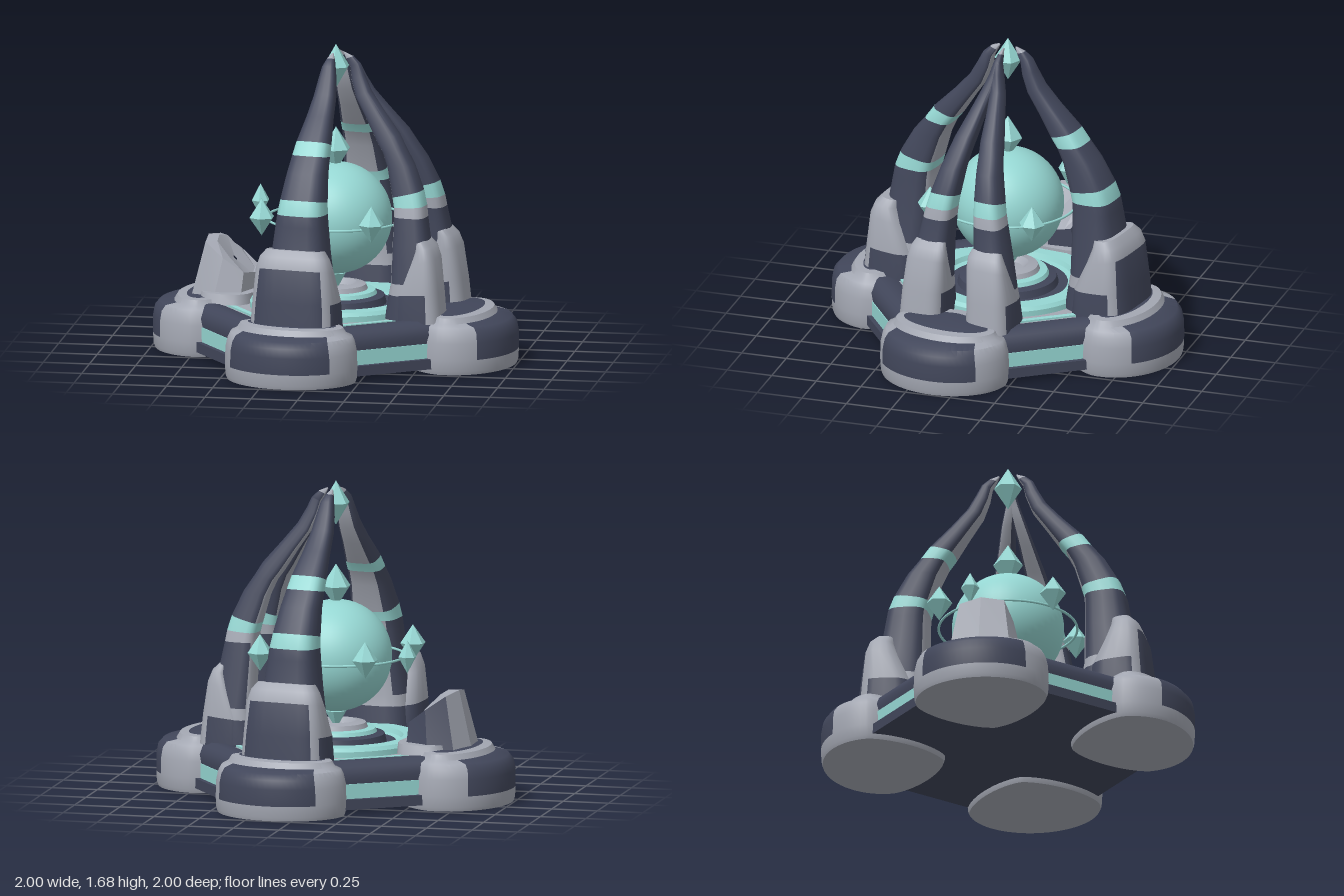
import * as THREE from 'three';
import { toCreasedNormals } from 'three/addons/utils/BufferGeometryUtils.js';

const material = (name, color) => {
  const m = new THREE.MeshStandardMaterial({ color });
  m.name = name;
  return m;
};
const dark = material('dark slate', 0x41465a);
const grey = material('light stone', 0xa3a7b2);
const teal = material('pale teal', 0x95d6d2);
const palette = [dark, grey, teal];
const DARK = 0, GREY = 1, TEAL = 2;

function add(parent, name, geometry, mat) {
  const mesh = new THREE.Mesh(geometry, mat);
  mesh.name = name;
  parent.add(mesh);
  return mesh;
}

// Skin over stacked rings; colourOf(row, column angle) picks a palette index
function loft(rows, sides, point, colourOf, crease = 0.7) {
  const pos = [], faces = [[], [], []];
  rows.forEach((row) => {
    for (let j = 0; j < sides; j++) pos.push(...point(row, (j / sides) * Math.PI * 2));
  });
  for (let i = 0; i < rows.length - 1; i++) {
    for (let j = 0; j < sides; j++) {
      const a = i * sides + j, b = i * sides + ((j + 1) % sides);
      const c = b + sides, d = a + sides;
      faces[colourOf(i, ((j + 0.5) / sides) * Math.PI * 2)].push(a, d, c, a, c, b);
    }
  }
  const g = new THREE.BufferGeometry();
  g.setAttribute('position', new THREE.Float32BufferAttribute(pos, 3));
  g.setIndex(faces.flat());
  let start = 0;
  faces.forEach((f, k) => {
    if (f.length) g.addGroup(start, f.length, k);
    start += f.length;
  });
  return toCreasedNormals(g, crease);
}

const power = (v, e) => Math.sign(v) * Math.pow(Math.abs(v), e);

// Tilted rounded-box ring: [outer u, outer y, inner u, inner y, half width]
const legPoint = (width, offset) => ([uo, yo, ui, yi, hw], t) => {
  const c = power(Math.cos(t), 0.6), s = power(Math.sin(t), 0.6);
  const y = (yo + yi) / 2 + ((yo - yi) / 2) * c;
  return [(uo + ui) / 2 + ((uo - ui) / 2) * c, y, offset(y) + hw * width * s];
};

const LEG = [
  [0.77, 0.27, 0.40, 0.27, 0.20], [0.75, 0.40, 0.42, 0.40, 0.19],
  [0.73, 0.47, 0.43, 0.46, 0.18], [0.68, 0.66, 0.43, 0.66, 0.15],
  [0.655, 0.81, 0.43, 0.81, 0.134], [0.645, 0.87, 0.425, 0.86, 0.128],
  [0.615, 0.95, 0.41, 0.91, 0.12], [0.54, 1.08, 0.365, 1.06, 0.105],
  [0.47, 1.165, 0.325, 1.14, 0.097], [0.42, 1.235, 0.285, 1.19, 0.09],
  [0.305, 1.35, 0.205, 1.31, 0.07], [0.215, 1.45, 0.135, 1.41, 0.058],
  [0.17, 1.53, 0.10, 1.50, 0.047], [0.14, 1.59, 0.085, 1.57, 0.035],
  [0.10, 1.625, 0.06, 1.61, 0.02], [0.05, 1.645, 0.045, 1.64, 0.004],
];
const HOOD = [
  [0.80, 0.26, 0.46, 0.26, 0.24], [0.785, 0.42, 0.47, 0.40, 0.23],
  [0.76, 0.60, 0.55, 0.56, 0.21], [0.735, 0.66, 0.58, 0.64, 0.19],
  [0.70, 0.695, 0.58, 0.68, 0.16], [0.65, 0.69, 0.62, 0.68, 0.02],
];

// Curved leg with bands, and the stone hood at its root
function addLeg(parent, slim, side) {
  const offset = (y) =>
    slim ? side * 0.2 * Math.max(0, 1 - Math.pow(Math.max(0, (y - 0.25) / 1.3), 1.7)) : 0;
  const point = (width) => legPoint(slim ? width : 1, offset);
  // Slim legs stand a little closer to the centre
  const place = (rows, shift) => (!slim ? rows : rows.map(([a, b, c, d, e]) => {
    const k = shift * Math.min(1, (a / 0.65) ** 2);
    return [a - k, b, c - k * 0.4, d, e];
  }));
  const bands = slim ? { 1: GREY, 4: GREY, 5: TEAL } : { 1: GREY, 5: TEAL, 8: TEAL };
  add(parent, 'curvedLeg', loft(place(LEG, 0.09), 20, point(0.6), (i, t) => {
    if (i in bands) return bands[i];
    if (i === 14) return GREY;
    return i > 1 && Math.cos(t) < -0.8 ? GREY : DARK;
  }), palette);
  add(parent, 'legHood', loft(place(HOOD, 0.12), 32, point(0.53), (i, t) => {
    const c = Math.cos(t);
    if (i === 0 && c < 0.45) return DARK;
    return !slim && i < 2 && c > 0.68 ? DARK : GREY;
  }), palette);
}

// Foot pad, round outside and pointed inward: rows are [y, radial scale, side scale]
const FOOT = [[0, 0, 0], [0, 0.97, 0.97], [0.02, 0.99, 0.99], [0.08, 1, 1], [0.17, 1, 0.99],
  [0.22, 0.97, 0.96], [0.25, 0.88, 0.92], [0.265, 0.6, 0.84], [0.295, 0.54, 0.79],
  [0.3, 0.37, 0.68], [0.312, 0, 0]];
function addFoot(parent) {
  const point = ([y, su, sv], t) => {
    const front = Math.cos(t) > 0, e = front ? 1 : 1.35;
    return [0.7 + su * (front ? 0.31 : 0.36) * power(Math.cos(t), e), y,
      sv * 0.365 * power(Math.sin(t), e)];
  };
  add(parent, 'footPad', loft(FOOT, 64, point, (i, t) => {
    if (i > 2 && i < 7 && Math.cos(t) > 0.6) return DARK;
    return i > 8 ? DARK : GREY;
  }), palette);
}

// Broken stump of the missing leg
function addStump(parent) {
  const point = legPoint(1, () => 0);
  add(parent, 'stumpCollar', loft([[0.73, 0.27, 0.42, 0.27, 0.25], [0.72, 0.325, 0.42, 0.325, 0.23],
    [0.6, 0.33, 0.59, 0.33, 0.01]], 20, point, () => GREY), palette);
  add(parent, 'brokenStump', loft([[0.79, 0.3, 0.45, 0.3, 0.2], [0.72, 0.6, 0.455, 0.41, 0.15],
    [0.66, 0.6, 0.47, 0.4, 0.1], [0.58, 0.49, 0.56, 0.47, 0.01]], 8, point,
  (i, t) => (i === 0 && Math.sin(t) > 0.3 && Math.cos(t) < 0.5 ? DARK : GREY), 0.2), palette);
}

function addCrystal(parent, name, x, y, z, r, h) {
  const profile = [[0, -h], [r, 0], [0, h]].map(([a, b]) => new THREE.Vector2(a, b));
  const mesh = add(parent, name, toCreasedNormals(new THREE.LatheGeometry(profile, 6), 0.2), teal);
  mesh.position.set(x, y, z);
}

function addLathe(parent, name, points, mat) {
  const g = new THREE.LatheGeometry(points.map(([a, b]) => new THREE.Vector2(a, b)), 48);
  add(parent, name, toCreasedNormals(g, 0.6), mat);
}

function addBox(parent, name, w, h, d, x, y, mat) {
  add(parent, name, new THREE.BoxGeometry(w, h, d), mat).position.set(x, y, 0);
}

export function createModel() {
  const model = new THREE.Group();
  model.name = 'crystalShrine';
  const base = new THREE.Group();
  base.name = 'base';
  base.rotation.y = -THREE.MathUtils.degToRad(10);
  model.add(base);

  // Four corners: twin slim legs, front leg, stump, back leg
  ['left', 'front', 'right', 'back'].forEach((label, k) => {
    const corner = new THREE.Group();
    corner.name = label + 'Corner';
    corner.rotation.y = -k * Math.PI / 2;
    base.add(corner);
    addFoot(corner);
    if (k === 0) [1, -1].forEach((side) => addLeg(corner, true, side));
    else if (k === 2) addStump(corner);
    else addLeg(corner, false, 0);
  });

  // Square platform turned so its corners meet the feet
  const platform = new THREE.Group();
  platform.name = 'platform';
  platform.rotation.y = -Math.PI / 4;
  base.add(platform);
  addBox(platform, 'bottomSlab', 1.2, 0.055, 1.2, 0, 0.055, dark);
  addBox(platform, 'floor', 1.12, 0.09, 1.12, 0, 0.215, grey);
  const rail = new THREE.Shape([[0.53, 0.16], [0.69, 0.16], [0.695, 0.21], [0.675, 0.25], [0.64, 0.275],
    [0.58, 0.275], [0.53, 0.255]].map(([x, y]) => new THREE.Vector2(x, y)));
  for (let k = 0; k < 4; k++) {
    const edge = new THREE.Group();
    edge.name = 'platformEdge';
    edge.rotation.y = k * Math.PI / 2;
    platform.add(edge);
    const g = new THREE.ExtrudeGeometry(rail, { depth: 0.94, bevelEnabled: false });
    g.translate(0, 0, -0.47);
    add(edge, 'rail', toCreasedNormals(g, 0.7), dark);
    addBox(edge, 'slabEdge', 0.15, 0.055, 0.9, 0.645, 0.055, dark);
    addBox(edge, 'tealStrip', 0.14, 0.08, 0.9, 0.625, 0.122, teal);
    addBox(edge, 'innerTrim', 0.03, 0.02, 0.9, 0.52, 0.26, teal);
  }

  // Round stepped pedestal
  addLathe(model, 'tealRing', [[0.46, 0.24], [0.46, 0.29], [0.445, 0.31], [0.36, 0.31],
    [0.35, 0.285], [0.32, 0.28]], teal);
  addLathe(model, 'darkStep', [[0.32, 0.28], [0.27, 0.28], [0.26, 0.32], [0.22, 0.33]], dark);
  addLathe(model, 'tealStep', [[0.22, 0.33], [0.21, 0.35], [0.17, 0.355]], teal);
  addLathe(model, 'stoneCup', [[0.17, 0.355], [0.16, 0.38], [0.11, 0.39], [0.08, 0.36], [0, 0.36]], grey);

  // Floating orb, its ring and the crystals
  add(model, 'orb', new THREE.SphereGeometry(0.3, 48, 32), teal).position.y = 0.74;
  const halo = add(model, 'orbRing', new THREE.TorusGeometry(0.37, 0.007, 8, 64), teal);
  halo.rotation.x = Math.PI / 2;
  halo.position.y = 0.74;
  addCrystal(model, 'topCrystal', 0, 1.565, 0, 0.075, 0.12);
  addCrystal(model, 'upperCrystal', 0, 1.115, 0, 0.08, 0.12);
  addCrystal(model, 'lowerCrystal', 0, 0.44, 0, 0.06, 0.1);
  [[-0.25, -0.36], [0.355, -0.25], [0.25, 0.355], [-0.36, 0.25]].forEach(([x, z]) =>
    addCrystal(model, 'orbitCrystal', x, 0.78, z, 0.07, 0.1));
  addCrystal(model, 'strayCrystal', -0.44, 0.78, -0.19, 0.05, 0.09);
  return model;
}
